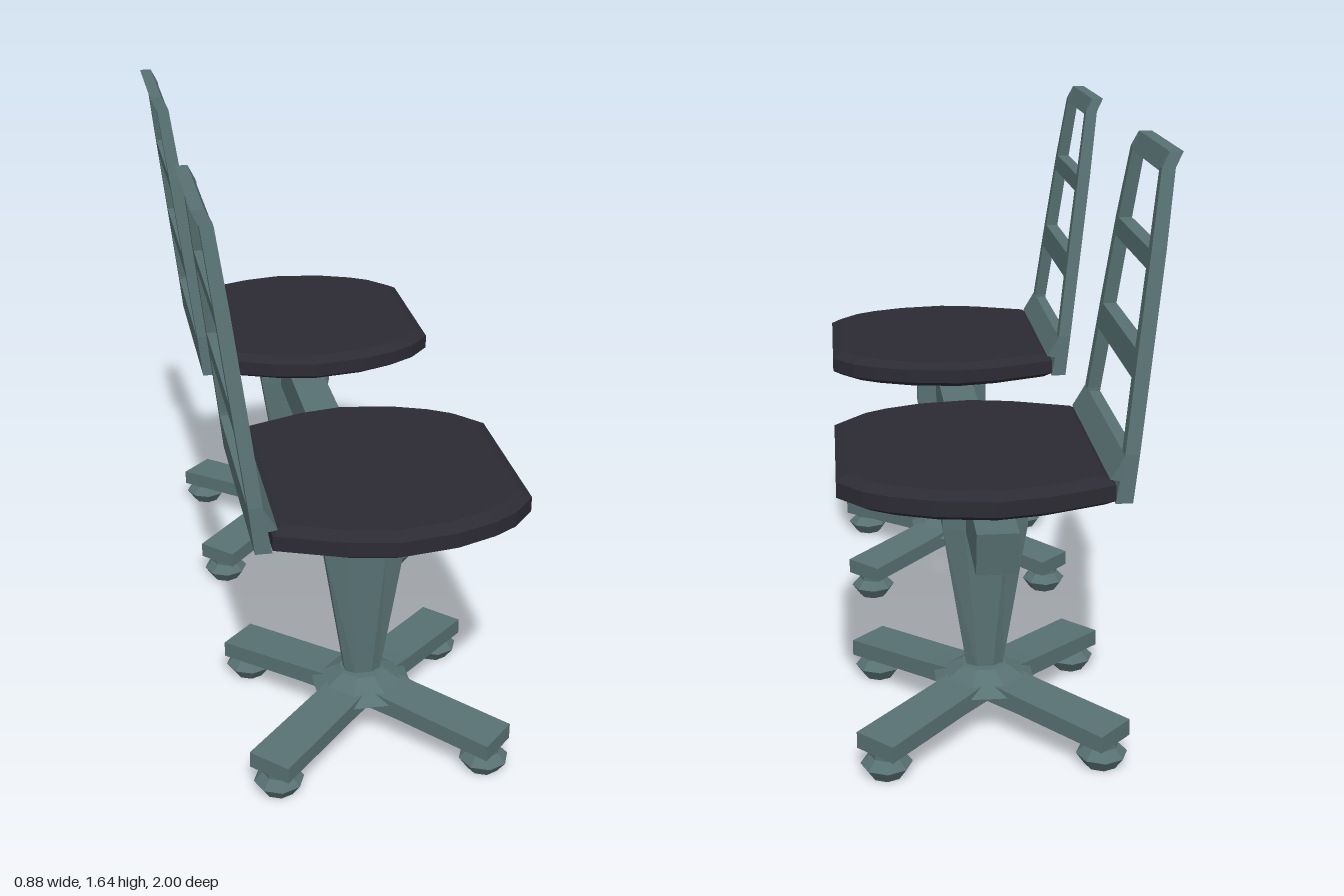
import * as THREE from 'three';

const teal = new THREE.MeshStandardMaterial({ color: 0x587173 });
teal.name = 'greyTealMetal';
const dark = new THREE.MeshStandardMaterial({ color: 0x2c2b34 });
dark.name = 'darkSeat';

const CX = 0.035; // column axis of each chair

// Solid through equal-length rings of [x, y, z] points, flat faces, closed ends.
function loft(rings) {
  const tris = [];
  const n = rings[0].length;
  for (let r = 0; r < rings.length - 1; r++) {
    for (let i = 0; i < n; i++) {
      const j = (i + 1) % n;
      const [a, b, c, d] = [rings[r][i], rings[r][j], rings[r + 1][j], rings[r + 1][i]];
      tris.push([a, b, c], [a, c, d]);
    }
  }
  const first = rings[0], last = rings[rings.length - 1];
  for (let i = 1; i < n - 1; i++) {
    tris.push([first[0], first[i + 1], first[i]], [last[0], last[i], last[i + 1]]);
  }
  // Turn the faces outward if the solid came out inside out
  let volume = 0;
  for (const [a, b, c] of tris) {
    volume += new THREE.Vector3(...a).dot(new THREE.Vector3(...b).cross(new THREE.Vector3(...c)));
  }
  if (volume < 0) tris.forEach((t) => t.reverse());
  const geo = new THREE.BufferGeometry();
  geo.setAttribute('position', new THREE.Float32BufferAttribute(tris.flat(2), 3));
  geo.computeVertexNormals();
  return geo;
}

function add(parent, name, geo, material = teal) {
  const mesh = new THREE.Mesh(geo, material);
  mesh.name = name;
  parent.add(mesh);
  return mesh;
}

const rect = (hx, hz, y) => [[-1, -1], [1, -1], [1, 1], [-1, 1]].map(([sx, sz]) => [CX + sx * hx, y, sz * hz]);

// Long chamfered column section
const columnRing = (y, hx, ix, hz, iz) =>
  [[hx, -iz], [hx, iz], [ix, hz], [-ix, hz], [-hx, iz], [-hx, -iz], [-ix, -hz], [ix, -hz]]
    .map(([x, z]) => [CX + x, y, z]);

// Half outline of the seat, from front to back
const seatHalf = [[0.44, 0.235], [0.375, 0.31], [0.31, 0.35], [0.2, 0.392], [0.04, 0.415], [-0.09, 0.392], [-0.27, 0.325]];
const seatOutline = [...seatHalf, ...seatHalf.map(([x, z]) => [x, -z]).reverse()];
const seatRing = (y, s) => seatOutline.map(([x, z]) => [0.06 + (x - 0.06) * s, y, z * s]);

// Backrest stations: y, back x, front x, outer z, inner z
const stations = [
  [0.76, -0.315, -0.27, 0.32, 0.277],
  [0.89, -0.33, -0.292, 0.316, 0.275],
  [1.14, -0.362, -0.323, 0.282, 0.241],
  [1.4, -0.395, -0.357, 0.247, 0.21],
  [1.6, -0.42, -0.385, 0.205, 0.176],
  [1.64, -0.44, -0.405, 0.198, 0.17],
];
function stationAt(y) {
  let i = 0;
  while (i < stations.length - 2 && y > stations[i + 1][0]) i++;
  const a = stations[i], b = stations[i + 1];
  const t = (y - a[0]) / (b[0] - a[0]);
  return a.map((v, k) => v + (b[k] - v) * t);
}

function createBackrest() {
  const back = new THREE.Group();
  back.name = 'backrest';
  for (const s of [1, -1]) {
    add(back, 'backRail', loft(stations.map(([y, xb, xf, zo, zi]) =>
      [[xb, y, s * zo], [xf, y, s * zo], [xf, y, s * zi], [xb, y, s * zi]])));
  }
  // Cross bars follow the lean and taper of the rails
  for (const [y0, y1] of [[0.76, 0.88], [1.075, 1.15], [1.35, 1.4], [1.59, 1.64]]) {
    add(back, 'backCrossBar', loft([y0, y1].map((y) => {
      const [, xb, xf, , z] = stationAt(y);
      return [[xb, y, z], [xf, y, z], [xf, y, -z], [xb, y, -z]];
    })));
  }
  // Wedge fillet where the back meets the seat
  add(back, 'backFillet', loft([0.318, -0.318].map((z) =>
    [[-0.285, 0.82, z], [-0.255, 0.825, z], [-0.292, 0.888, z]])));
  return back;
}

function createBase() {
  const base = new THREE.Group();
  base.name = 'base';
  base.position.x = CX;
  const hub = add(base, 'baseHub', new THREE.CylinderGeometry(0.065, 0.15, 0.05, 8).toNonIndexed());
  hub.geometry.computeVertexNormals();
  hub.position.y = 0.15;
  hub.rotation.y = Math.PI / 8;

  const legGeo = loft([[0, 0.06, 0.093, 0.155], [0.16, 0.062, 0.09, 0.14], [0.455, 0.065, 0.073, 0.12]]
    .map(([r, w, y0, y1]) => [[r, y0, -w], [r, y1, -w], [r, y1, w], [r, y0, w]]));
  const profile = [[0, 0], [0.045, 0], [0.07, 0.035], [0.045, 0.06], [0.045, 0.085]];
  const casterGeo = new THREE.LatheGeometry(profile.map(([x, y]) => new THREE.Vector2(x, y)), 8).toNonIndexed();
  casterGeo.computeVertexNormals();
  for (let i = 0; i < 4; i++) {
    const arm = new THREE.Group();
    arm.name = 'baseArm';
    arm.rotation.y = Math.PI / 4 + i * Math.PI / 2;
    add(arm, 'baseLeg', legGeo);
    add(arm, 'foot', casterGeo).position.x = 0.41;
    base.add(arm);
  }
  return base;
}

function createChair() {
  const chair = new THREE.Group();
  chair.name = 'chair';
  add(chair, 'column', loft([
    columnRing(0.15, 0.048, 0.02, 0.034, 0.016),
    columnRing(0.59, 0.118, 0.058, 0.043, 0.022),
    columnRing(0.71, 0.118, 0.058, 0.044, 0.022),
  ]));
  // Flared bracket and pan under the seat
  add(chair, 'seatBracket', loft([rect(0.118, 0.045, 0.705), rect(0.15, 0.33, 0.756)]));
  add(chair, 'seatPan', loft([seatRing(0.749, 0.9), seatRing(0.756, 0.92)]));
  add(chair, 'seat', loft([
    seatRing(0.752, 0.925), seatRing(0.77, 1), seatRing(0.812, 1), seatRing(0.83, 0.92),
  ]), dark);
  chair.add(createBackrest(), createBase());
  return chair;
}

export function createModel() {
  const model = new THREE.Group();
  model.name = 'linkedChairs';
  for (const z of [0.585, -0.585]) {
    const chair = createChair();
    chair.position.z = z;
    model.add(chair);
  }
  // Connecting beam, cut at a slant on its free end
  add(model, 'connectingBeam', loft([-0.02, 0.09].map((x) =>
    [[x, 0.585, 0.56], [x, 0.705, 0.56], [x, 0.705, -0.945], [x, 0.585, -0.925]])));
  return model;
}
